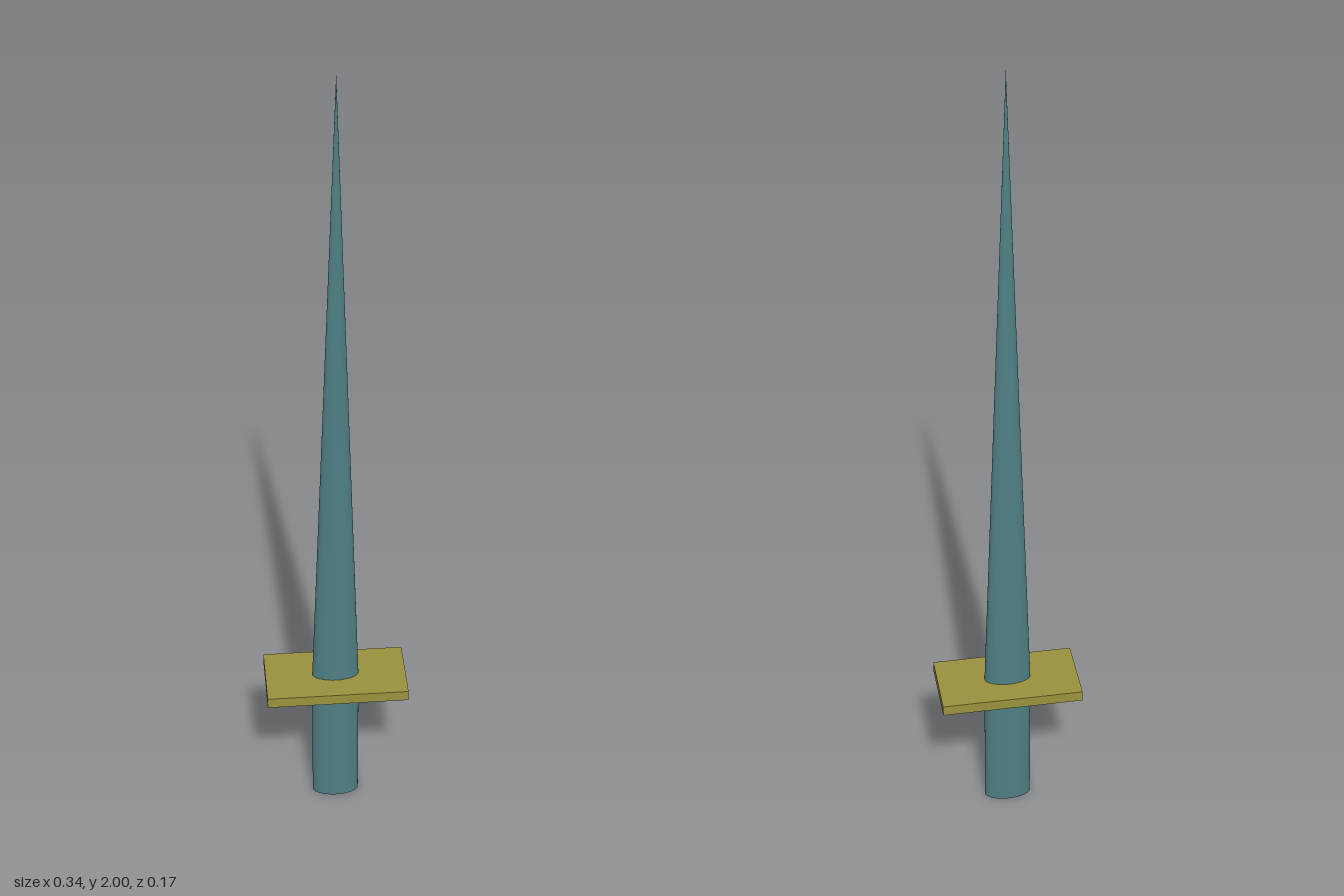
import * as THREE from 'three';

export function createModel() {
  const group = new THREE.Group();
  const steel = new THREE.MeshStandardMaterial({ color: 0x4f7f84 });
  const brass = new THREE.MeshStandardMaterial({ color: 0x9a923e });
  const add = (name, geometry, material, y) => {
    const mesh = new THREE.Mesh(geometry, material);
    mesh.name = name;
    mesh.position.y = y;
    group.add(mesh);
  };

  const rx = 0.057, rz = 0.028;      // half axes of the oval section
  const guardY = 0.362, tipY = 2, tipZ = 0.021;

  // Oval grip
  const grip = new THREE.CylinderGeometry(1, 1, guardY, 48);
  grip.scale(rx, 1, rz);
  add('grip', grip, steel, guardY / 2);

  // Flat rectangular guard
  add('guard', new THREE.BoxGeometry(0.342, 0.027, 0.17), brass, guardY);

  // Oval tapering blade, sheared so its tip lies toward the front
  const length = tipY - guardY;
  const blade = new THREE.CylinderGeometry(0, 1, length, 48, 8);
  blade.scale(rx, 1, rz);
  const shear = new THREE.Matrix4().set(
    1, 0, 0, 0,
    0, 1, 0, 0,
    0, tipZ / length, 1, tipZ / 2,
    0, 0, 0, 1);
  blade.applyMatrix4(shear);
  add('blade', blade, steel, guardY + length / 2);

  return group;
}
